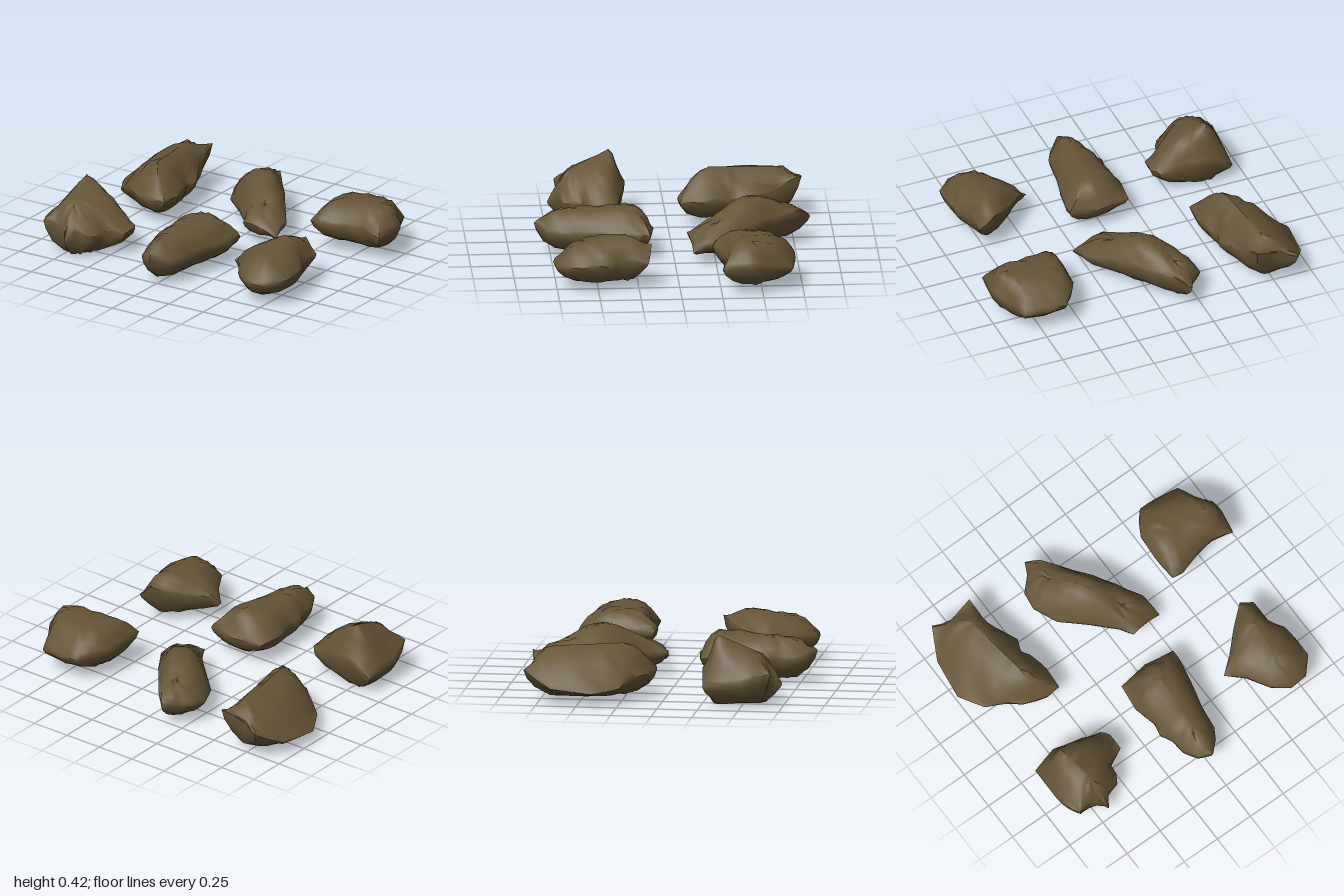
import * as THREE from 'three';
import { mergeVertices, toCreasedNormals } from 'three/addons/utils/BufferGeometryUtils.js';

const stone = new THREE.MeshStandardMaterial({ color: 0x655437 });
stone.name = 'brown stone';

// small seeded noise in -1..1
const noise = n => {
  const v = Math.sin(n * 12.9898 + 4.1) * 43758.5453;
  return (v - Math.floor(v)) * 2 - 1;
};

// loops from underside to crest: [scale towards the spine, depth below the rim (-1..0) or 1 for above it]
const LOOPS = [[0, -1], [0.45, -0.93], [0.8, -0.64], [0.96, -0.26], [1, 0], [0.95, 1], [0.82, 1], [0.6, 1], [0.32, 1], [0, 1]];

// outline: [x, z, rim height?] clockwise from above; spine: two crest points [x, z, height];
// hump: extra crest height mid-spine; bulge: 1 is a cone, larger is flatter on top
function rock(name, { outline, spine: [p, q], hump = 0, base, rim, bulge, seed }) {
  // add a slightly chipped point in the middle of every edge
  const ring = outline.flatMap((a, i) => {
    const b = outline[(i + 1) % outline.length];
    const ya = a[2] ?? rim, yb = b[2] ?? rim;
    return [[a[0], a[1], ya], [(a[0] + b[0]) / 2, (a[1] + b[1]) / 2, (ya + yb) / 2 + 0.012 * noise(seed + i)]];
  });
  const n = ring.length, pos = [], index = [];
  // softened outline for the loops away from the rim
  const soft = ring.map((_, i) => [0, 1, 2].map(c =>
    [-2, -1, 0, 1, 2].reduce((sum, d) => sum + ring[(i + d + n) % n][c] / 5, 0)));
  const dx = q[0] - p[0], dz = q[1] - p[1];
  LOOPS.forEach(([s, side], j) => ring.forEach((point, i) => {
    const [x, z, y] = point.map((v, c) => THREE.MathUtils.lerp(soft[i][c], v, s ** 4));
    // crest point for this outline point, easing off towards the spine's ends
    const along = ((x - p[0]) * dx + (z - p[1]) * dz) / (dx * dx + dz * dz);
    const e = Math.tanh(2 * along - 1), t = 0.5 + 0.5 * e;
    const cx = p[0] + dx * t, cz = p[1] + dz * t, crest = p[2] + (q[2] - p[2]) * t + hump * (1 - e * e);
    const rough = s > 0 && s < 1 ? noise(seed * 3 + j * 31 + i * 7) : 0;
    const k = s * (1 + 0.025 * rough);
    const h = side > 0 ? y + (crest - y) * (1 - Math.pow(s, bulge)) : y + (y - base) * side;
    pos.push(cx + (x - cx) * k, Math.max(base, h + 0.008 * rough), cz + (z - cz) * k);
  }));
  for (let j = 0; j < LOOPS.length - 1; j++) {
    for (let i = 0; i < n; i++) {
      const a = j * n + i, b = j * n + (i + 1) % n;
      index.push(a, a + n, b + n, a, b + n, b);
    }
  }
  const geo = new THREE.BufferGeometry();
  geo.setAttribute('position', new THREE.Float32BufferAttribute(pos, 3));
  geo.setIndex(index);
  const mesh = new THREE.Mesh(toCreasedNormals(mergeVertices(geo, 1e-4), 1.05), stone);
  mesh.name = name;
  return mesh;
}

export function createModel() {
  const group = new THREE.Group();
  group.name = 'rocks';
  group.add(
    // back row
    rock('backRightRock', {
      outline: [[-.88, -.84, .2], [-.78, -.79, .22], [-.61, -.82, .28], [-.6, -.66, .2], [-.5, -.47], [-.53, -.4], [-.5, -.35],
        [-.47, -.21], [-.48, -.07], [-.57, -.06], [-.72, -.11], [-.8, -.18], [-.91, -.25, .1], [-1, -.41, .08], [-.97, -.66, .1]],
      spine: [[-.7, -.7, .32], [-.64, -.24, .34]], base: .03, rim: .16, bulge: 1.8, seed: 1,
    }),
    rock('backMiddleRock', {
      outline: [[-.17, -.85, .16], [-.1, -.79, .22], [.03, -.62, .2], [.11, -.52, .2], [.19, -.4, .18], [.29, -.26, .13], [.31, -.11, .08],
        [.2, -.1, .13], [.09, -.08, .15], [.05, -.16], [-.09, -.3], [-.23, -.43, .12], [-.3, -.58, .13], [-.29, -.69, .15], [-.21, -.77, .17]],
      spine: [[-.15, -.67, .23], [.14, -.25, .2]], hump: .12, base: .04, rim: .14, bulge: 2.8, seed: 2,
    }),
    rock('backLeftRock', {
      outline: [[.6, -.71, .17], [.72, -.71, .16], [.87, -.69, .15], [.91, -.59, .17], [.98, -.48], [.99, -.4], [.97, -.25, .17], [.83, -.28],
        [.71, -.26], [.56, -.21], [.49, -.22], [.48, -.4], [.49, -.55], [.54, -.64]],
      spine: [[.62, -.44, .31], [.86, -.43, .32]], base: .05, rim: .2, bulge: 3.8, seed: 3,
    }),
    // front row
    rock('frontRightRock', {
      outline: [[-.91, .27, .12], [-.76, .25, .22], [-.56, .29, .18], [-.45, .31], [-.41, .36], [-.41, .47], [-.52, .52], [-.53, .59],
        [-.56, .64], [-.65, .67, .18], [-.69, .73, .12], [-.72, .67, .17], [-.8, .66, .2], [-.87, .68, .21], [-.91, .59, .2], [-.92, .51, .16]],
      spine: [[-.77, .34, .43], [-.71, .58, .32]], base: 0, rim: .15, bulge: 1.8, seed: 4,
    }),
    rock('frontMiddleRock', {
      outline: [[-.17, .15], [.03, .12], [.22, .15], [.22, .22], [.19, .38], [.15, .54], [.13, .7], [.09, .77], [.01, .85, .2],
        [-.07, .81, .18], [-.12, .72], [-.13, .61], [-.17, .55], [-.15, .46], [-.19, .32]],
      spine: [[.02, .27, .31], [0, .67, .28]], base: .03, rim: .16, bulge: 2.8, seed: 5,
    }),
    rock('frontLeftRock', {
      outline: [[.71, .17, .27], [.8, .19, .18], [.8, .35], [.86, .43], [.87, .55], [.87, .66], [.78, .76, .15], [.66, .77, .15],
        [.56, .7], [.47, .55], [.38, .46, .14], [.47, .39, .19], [.59, .27, .22]],
      spine: [[.69, .34, .32], [.68, .57, .29]], base: .04, rim: .17, bulge: 2.6, seed: 6,
    }),
  );
  return group;
}
